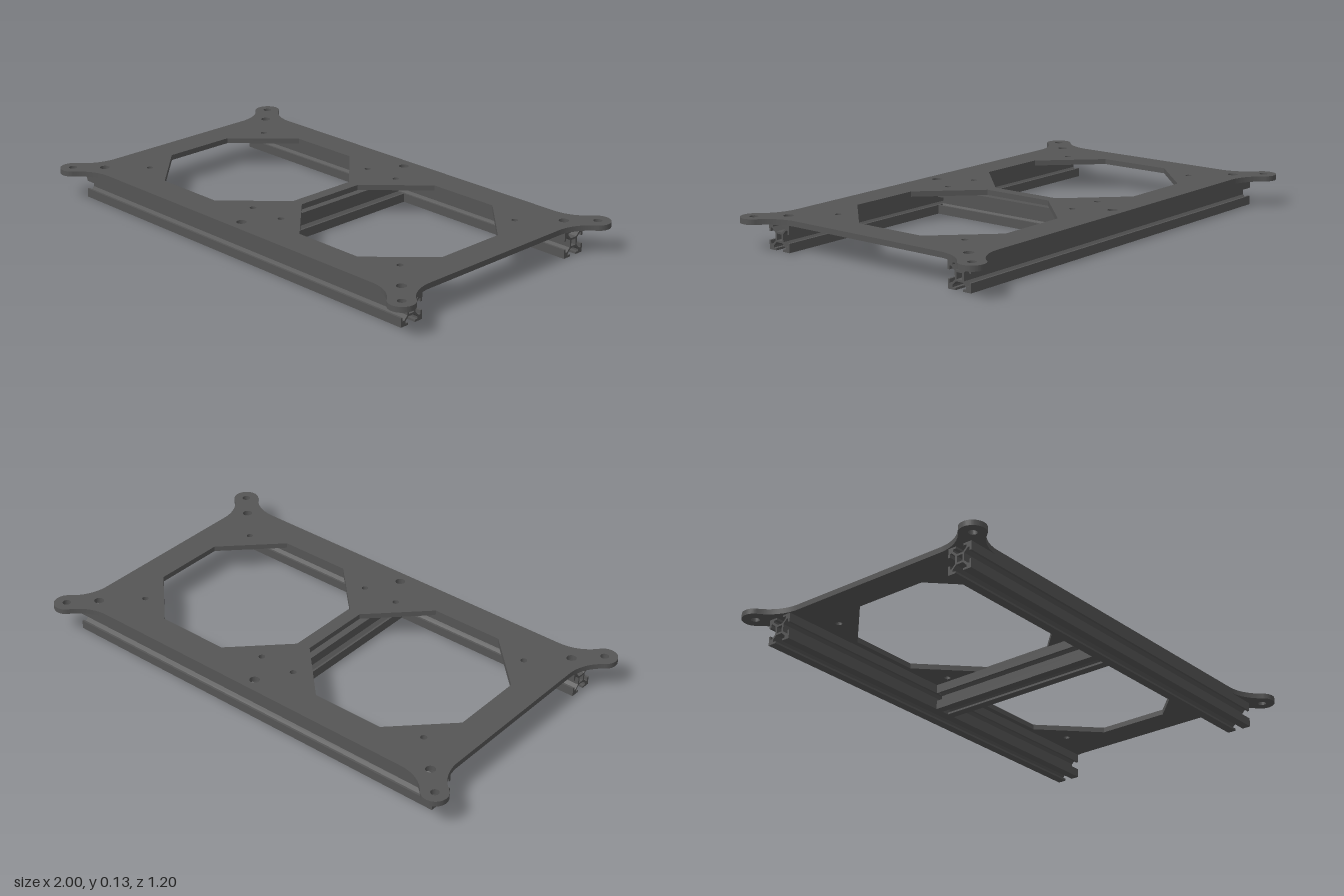
import * as THREE from 'three';

const HALF_X = 0.907, HALF_Z = 0.507; // frame half extents
const RAIL = 0.108, TOP = 0.13; // rail width, top of plate
const material = new THREE.MeshStandardMaterial({ color: 0x555555, flatShading: true });

const flip = (pts, sx, sy) => pts.map(p => new THREE.Vector2(p.x * sx, p.y * sy));
const hole = (x, y, r) => new THREE.Path().absarc(x, y, r, 0, Math.PI * 2, true);

// One corner of the plate: fillet, round mounting ear, fillet
function earCorner() {
  const off = 0.04, ear = 0.053, run = 0.187;
  const R = (run * run + off * off - ear * ear) / (2 * (ear + off));
  const cx = HALF_X + off, cz = HALF_Z + off;
  const a = Math.atan2(off - R, run);
  const path = new THREE.Path();
  path.absarc(HALF_X + R, cz - run, R, Math.PI, Math.PI / 2 - a, true);
  path.absarc(cx, cz, ear, -Math.PI / 2 - a, a + Math.PI, false);
  path.absarc(cx - run, HALF_Z + R, R, a, -Math.PI / 2, true);
  return path.getPoints(16);
}

// Flat plate with two octagonal openings and drilled holes
function plateGeometry() {
  const c = earCorner(), r = [...c].reverse();
  const shape = new THREE.Shape([...c, ...flip(r, -1, 1), ...flip(c, -1, -1), ...flip(r, 1, -1)]);
  for (const sx of [-1, 1]) {
    const mid = 0.401 * sx, w = 0.376, f = 0.156;
    const octagon = [[w, -f], [w, f], [f, w], [-f, w], [-w, f], [-w, -f], [-f, -w], [f, -w]];
    shape.holes.push(new THREE.Path(octagon.map(([x, y]) => new THREE.Vector2(mid + x, y))));
    for (const sz of [-1, 1]) {
      shape.holes.push(hole(sx * (HALF_X + 0.04), sz * (HALF_Z + 0.04), 0.017)); // ear
      shape.holes.push(hole(sx * 0.855, sz * 0.453, 0.02)); // rail screw
      for (const d of [-0.32, 0.32]) shape.holes.push(hole(mid + d, sz * 0.32, 0.013)); // fan
    }
  }
  for (const sz of [-1, 1]) shape.holes.push(hole(0, sz * 0.453, 0.02));
  const geo = new THREE.ExtrudeGeometry(shape, { depth: TOP - RAIL, bevelEnabled: false, curveSegments: 24 });
  return geo.rotateX(Math.PI / 2).translate(0, TOP, 0);
}

// T-slot rail along z: four slots, diagonal webs and a square hollow core
function railGeometry(length) {
  const s = RAIL / 20;
  const side = [[10, 10], [3.2, 10], [3.2, 8.4], [5.9, 8.4], [5.9, 6.9], [2.9, 3.9],
    [-2.9, 3.9], [-5.9, 6.9], [-5.9, 8.4], [-3.2, 8.4], [-3.2, 10]];
  const pts = [];
  for (let i = 0; i < 4; i++) {
    for (const [x, y] of side) {
      pts.push(new THREE.Vector2(x * s, y * s).rotateAround(new THREE.Vector2(), i * Math.PI / 2));
    }
  }
  const shape = new THREE.Shape(pts), h = 2.4 * s;
  shape.holes.push(new THREE.Path([[-h, -h], [-h, h], [h, h], [h, -h]].map(p => new THREE.Vector2(...p))));
  return new THREE.ExtrudeGeometry(shape, { depth: length, bevelEnabled: false }).translate(0, RAIL / 2, -length / 2);
}

export function createModel() {
  const group = new THREE.Group();
  group.name = 'fanMountFrame';
  const add = (name, geo) => {
    const mesh = new THREE.Mesh(geo, material);
    mesh.name = name;
    group.add(mesh);
    return mesh;
  };

  add('plate', plateGeometry());
  const longRail = railGeometry(HALF_X * 2).rotateY(Math.PI / 2);
  add('frontRail', longRail).position.z = HALF_Z - RAIL / 2;
  add('backRail', longRail).position.z = -HALF_Z + RAIL / 2;
  add('crossRail', railGeometry(2 * (HALF_Z - RAIL)));
  return group;
}
